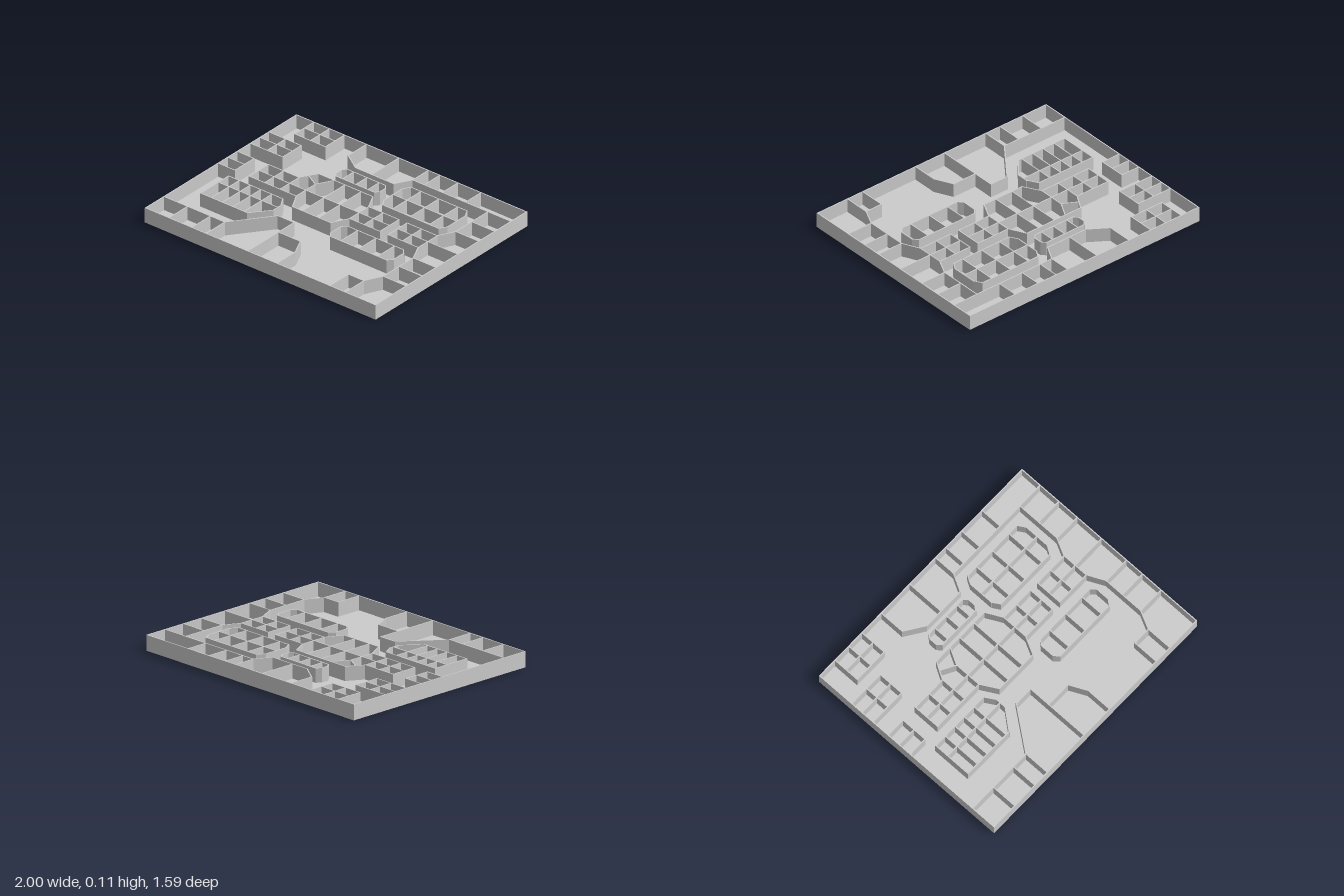
import * as THREE from 'three';

const W = 1, D = 0.795;        // half width and half depth
const H = 0.112, FLOOR = 0.01; // total height and floor thickness
const T = 0.008;               // wall thickness

export function createModel() {
  const root = new THREE.Group();
  const mat = new THREE.MeshStandardMaterial({ color: 0xcccccc, flatShading: true });

  const addGroup = (name) => {
    const g = new THREE.Group();
    g.name = name;
    root.add(g);
    return g;
  };

  // One straight wall between two plan points
  const wall = (g, x1, z1, x2, z2) => {
    const len = Math.hypot(x2 - x1, z2 - z1);
    const m = new THREE.Mesh(new THREE.BoxGeometry(len + T * 0.6, H - FLOOR, T), mat);
    m.position.set((x1 + x2) / 2, (H + FLOOR) / 2, (z1 + z2) / 2);
    m.rotation.y = -Math.atan2(z2 - z1, x2 - x1);
    m.name = 'wall';
    g.add(m);
  };
  const path = (g, pts, closed = false) => {
    for (let i = 0; i < pts.length - (closed ? 0 : 1); i++) {
      wall(g, ...pts[i], ...pts[(i + 1) % pts.length]);
    }
  };
  const cross = (g, xs, z1, z2) => xs.forEach((x) => wall(g, x, z1, x, z2)); // walls along z
  const along = (g, zs, x1, x2) => zs.forEach((z) => wall(g, x1, z, x2, z)); // walls along x
  const octagon = (g, x1, x2, z1, z2, cx, cz) => path(g, [
    [x1 + cx, z1], [x2 - cx, z1], [x2, z1 + cz], [x2, z2 - cz],
    [x2 - cx, z2], [x1 + cx, z2], [x1, z2 - cz], [x1, z1 + cz],
  ], true);

  // Base plate
  const floor = new THREE.Mesh(new THREE.BoxGeometry(W * 2, FLOOR, D * 2), mat);
  floor.position.y = FLOOR / 2;
  floor.name = 'floor';
  root.add(floor);

  // Outer walls
  const rect = (C, w, d) => new C([[-w, -d], [w, -d], [w, d], [-w, d]].map((p) => new THREE.Vector2(...p)));
  const rim = rect(THREE.Shape, W, D);
  rim.holes.push(rect(THREE.Path, W - T, D - T));
  const rimGeo = new THREE.ExtrudeGeometry(rim, { depth: H - FLOOR, bevelEnabled: false });
  rimGeo.rotateX(-Math.PI / 2).translate(0, FLOOR, 0);
  const outer = new THREE.Mesh(rimGeo, mat);
  outer.name = 'outerWalls';
  root.add(outer);

  const X = W - T / 2, Z = D - T / 2;
  let g;

  // Small rooms on the left edge
  g = addGroup('backLeftCells');
  cross(g, [-0.845, -0.71, -0.58], -Z, -0.59);
  along(g, [-0.69, -0.59], -0.845, -0.58);
  g = addGroup('sideCells');
  along(g, [-0.5, -0.407, -0.307], -X, -0.715);
  cross(g, [-0.85, -0.715], -0.5, -0.307);
  g = addGroup('smallSideCells');
  along(g, [-0.17, -0.07, 0.03], -X, -0.85);
  cross(g, [-0.85], -0.17, 0.03);

  // Rooms along the back edge
  g = addGroup('backRooms');
  path(g, [[-0.39, -Z], [-0.39, -0.6], [-0.25, -0.507], [0.08, -0.507], [0.145, -0.627], [X, -0.627]]);
  cross(g, [-0.11], -Z, -0.507);
  cross(g, [0.145, 0.245, 0.402, 0.602], -Z, -0.627);

  // Rooms along the right edge
  g = addGroup('rightRooms');
  path(g, [[0.797, -0.627], [0.797, -0.29], [0.737, -0.17], [0.737, 0.03], [0.797, 0.155],
    [0.797, 0.47], [0.735, 0.597], [0.735, Z]]);
  along(g, [-0.457, -0.29, 0.157, 0.303, 0.47], 0.797, X);
  along(g, [-0.07], 0.475, X);
  path(g, [[0.735, 0.597], [0.602, 0.597], [0.602, Z]]);
  path(g, [[0.737, -0.17], [0.475, -0.17], [0.475, 0.03], [0.737, 0.03]]);
  cross(g, [0.6], -0.17, 0.03);

  // Free-standing chamfered blocks
  g = addGroup('smallBlock');
  octagon(g, -0.305, 0.075, -0.457, -0.34, 0.025, 0.03);
  cross(g, [-0.225, -0.11, -0.005], -0.457, -0.34);
  g = addGroup('largeBlock');
  octagon(g, 0.165, 0.715, -0.547, -0.248, 0.033, 0.055);
  cross(g, [0.283, 0.438, 0.602], -0.547, -0.248);
  along(g, [-0.398], 0.165, 0.715);
  g = addGroup('frontBlock');
  octagon(g, 0.165, 0.71, 0.115, 0.292, 0.03, 0.035);
  cross(g, [0.283, 0.442, 0.602], 0.115, 0.292);
  g = addGroup('leftBlock');
  path(g, [[-0.835, 0.115], [-0.365, 0.115], [-0.32, 0.19], [-0.32, 0.27], [-0.43, 0.407], [-0.835, 0.407]], true);
  cross(g, [-0.743, -0.647, -0.556, -0.46], 0.115, 0.407);
  along(g, [0.222], -0.835, -0.32);

  // Central block with its two wings
  g = addGroup('centralBlock');
  path(g, [[-0.39, -0.29], [0.08, -0.29], [0.142, -0.17], [0.405, -0.17], [0.405, 0.03], [0.142, 0.03],
    [0.08, 0.153], [-0.25, 0.153], [-0.32, 0.03], [-0.727, 0.03], [-0.727, -0.17], [-0.46, -0.17]], true);
  path(g, [[-0.255, -0.29], [-0.32, -0.17], [-0.32, 0.03]]);
  wall(g, -0.425, -0.228, -0.32, -0.17);
  cross(g, [-0.163, -0.022], -0.29, 0.153);
  cross(g, [-0.594, -0.46, 0.142, 0.267], -0.17, 0.03);
  along(g, [-0.07], -0.727, 0.405);

  // Rooms along the front edge
  g = addGroup('frontRooms');
  path(g, [[-X, 0.597], [-0.47, 0.597], [-0.25, 0.307], [-0.11, 0.307], [-0.11, Z]]);
  cross(g, [-0.792, -0.594, -0.47], 0.597, Z);
  path(g, [[-0.11, 0.47], [0.08, 0.47], [0.142, 0.597], [0.142, Z]]);

  return root;
}
